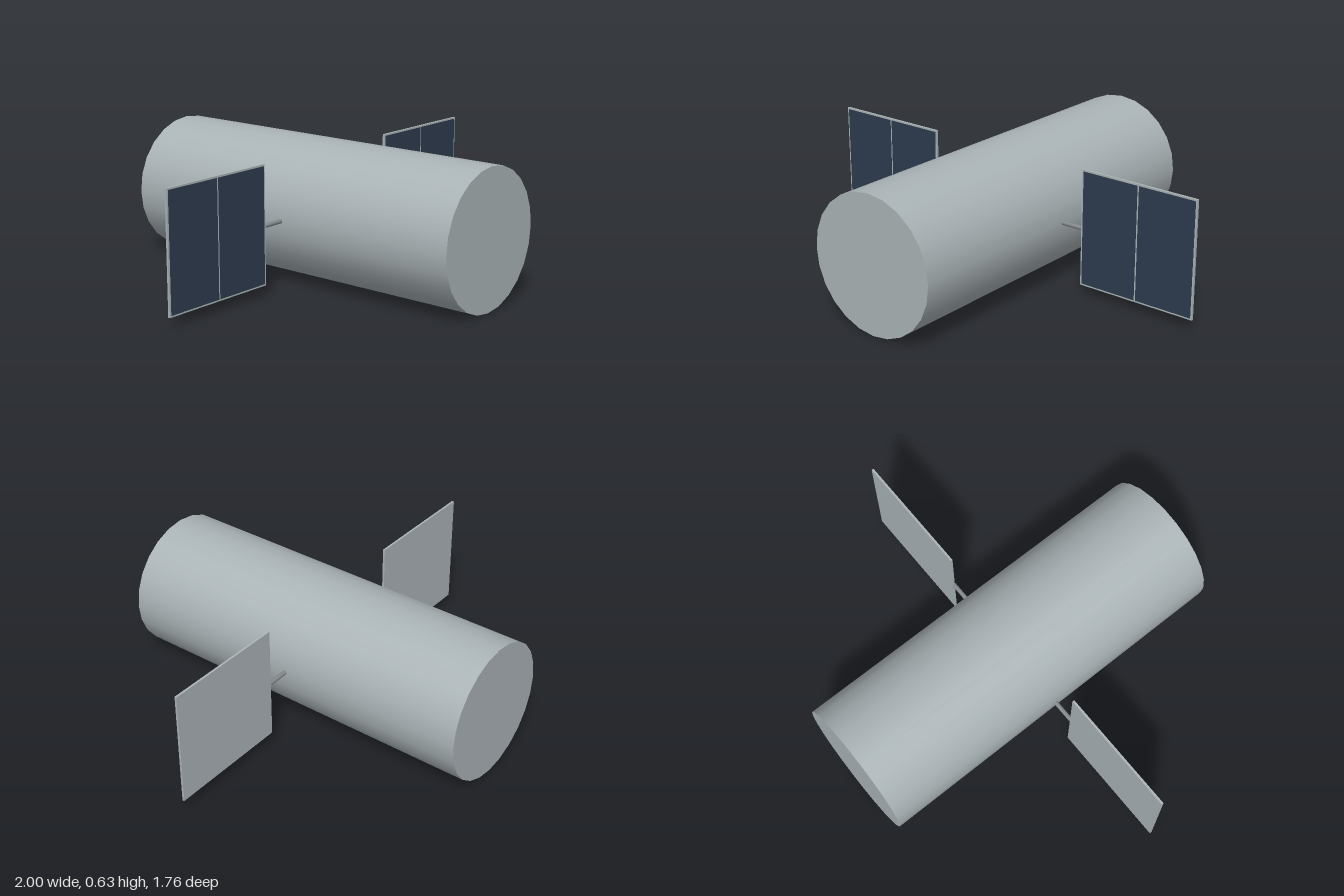
import * as THREE from 'three';

const material = (name, color) => {
  const m = new THREE.MeshStandardMaterial({ color });
  m.name = name;
  return m;
};

export function createModel() {
  const hull = material('hullGrey', 0xaab3b6);
  const steel = material('strutGrey', 0x84898c);
  const navy = material('cellNavy', 0x2d3b4f);

  const group = new THREE.Group();
  group.name = 'satellite';
  const radius = 0.317;

  const add = (name, geometry, mat, x, y, z) => {
    const mesh = new THREE.Mesh(geometry, mat);
    mesh.name = name;
    mesh.position.set(x, y, z);
    group.add(mesh);
    return mesh;
  };

  // Cylindrical body lying along z
  const bodyGeometry = new THREE.CylinderGeometry(radius, radius, 1.76, 24).rotateX(Math.PI / 2);
  add('body', bodyGeometry, hull, 0, radius, 0);

  for (const [side, s] of [['left', 1], ['right', -1]]) {
    // Strut from the body to the panel
    const strut = new THREE.CylinderGeometry(0.01, 0.01, 0.12, 12).rotateZ(Math.PI / 2);
    add(side + 'Strut', strut, steel, s * 0.36, radius, 0);

    // Solar panel with two cells on its front face
    add(side + 'Panel', new THREE.BoxGeometry(0.58, 0.54, 0.01), hull, s * 0.71, 0.32, 0);
    for (const k of [-1, 1]) {
      add(side + 'SolarCell', new THREE.BoxGeometry(0.278, 0.524, 0.003), navy,
        s * 0.71 + k * 0.143, 0.32, 0.0055);
    }
  }
  return group;
}
